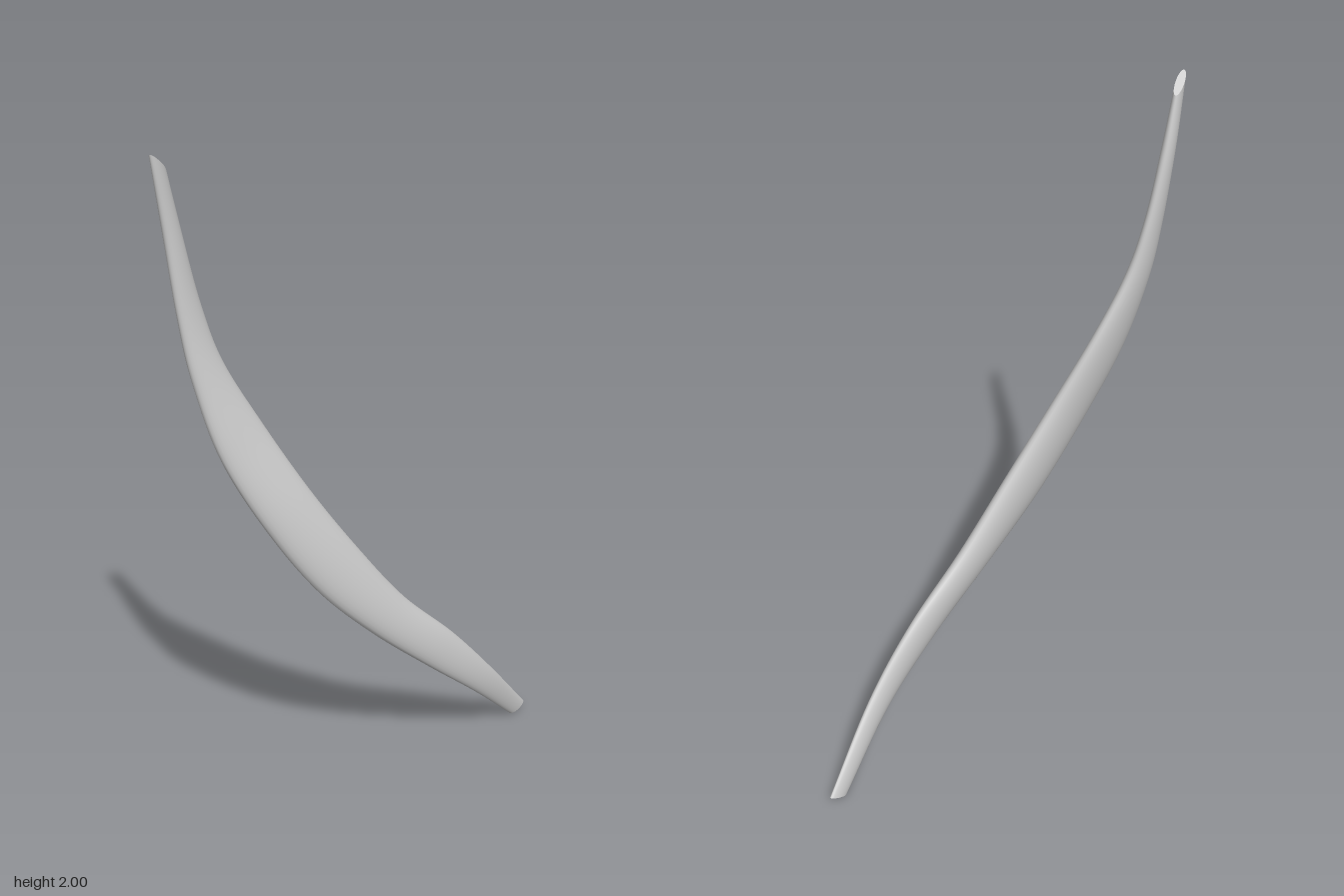
import * as THREE from 'three';

// Cross-sections from top to bottom: left edge, right edge, half thickness
const SECTIONS = [
  [[-0.615, 2.0, 0.035], [-0.567, 1.95, 0.002], 0.012],
  [[-0.587, 1.8, 0.025], [-0.533, 1.79, -0.01], 0.018],
  [[-0.563, 1.58, 0.027], [-0.49, 1.6, -0.012], 0.021],
  [[-0.535, 1.4, 0.037], [-0.44, 1.44, -0.004], 0.026],
  [[-0.475, 1.18, 0.06], [-0.345, 1.26, 0.01], 0.031],
  [[-0.36, 0.955, 0.08], [-0.22, 1.045, 0.035], 0.035],
  [[-0.215, 0.74, 0.087], [-0.085, 0.845, 0.045], 0.036],
  [[-0.04, 0.555, 0.08], [0.075, 0.635, 0.04], 0.033],
  [[0.165, 0.37, 0.052], [0.26, 0.45, 0.022], 0.026],
  [[0.36, 0.197, 0.002], [0.425, 0.26, -0.016], 0.019],
  [[0.555, 0.004, -0.087], [0.612, 0.03, -0.1], 0.011],
];
const STEPS = 80;
const SIDES = 28;

const spline = (points) => new THREE.CatmullRomCurve3(points, false, 'catmullrom', 0.5);

// Elliptical rings carried between the two edge curves
function buildRings() {
  const left = spline(SECTIONS.map((s) => new THREE.Vector3(...s[0])));
  const right = spline(SECTIONS.map((s) => new THREE.Vector3(...s[1])));
  const thick = spline(SECTIONS.map((s, i) => new THREE.Vector3(s[2], i, 0)));
  const rings = [];
  for (let i = 0; i <= STEPS; i++) {
    const u = i / STEPS;
    const l = left.getPoint(u), r = right.getPoint(u);
    const centre = l.clone().add(r).multiplyScalar(0.5);
    const half = r.clone().sub(l).multiplyScalar(0.5);
    const along = left.getTangent(u).add(right.getTangent(u));
    const depth = along.cross(half).normalize().multiplyScalar(thick.getPoint(u).x);
    const ring = [];
    for (let j = 0; j < SIDES; j++) {
      const a = (j / SIDES) * Math.PI * 2;
      ring.push(centre.clone().addScaledVector(half, Math.cos(a)).addScaledVector(depth, Math.sin(a)));
    }
    rings.push(ring);
  }
  return rings;
}

function makeMesh(name, points, index, material) {
  const geometry = new THREE.BufferGeometry().setFromPoints(points);
  geometry.setIndex(index);
  geometry.computeVertexNormals();
  const mesh = new THREE.Mesh(geometry, material);
  mesh.name = name;
  return mesh;
}

// Flat end closing one ring
function makeCap(name, ring, flip, material) {
  const index = [];
  for (let j = 1; j < SIDES - 1; j++) index.push(0, ...(flip ? [j + 1, j] : [j, j + 1]));
  return makeMesh(name, ring, index, material);
}

export function createModel() {
  const group = new THREE.Group();
  group.name = 'muscleStrap';
  const material = new THREE.MeshStandardMaterial({ color: 0xcccccc });
  const rings = buildRings();

  // Curved, flattened belly
  const index = [];
  for (let i = 0; i < STEPS; i++) {
    for (let j = 0; j < SIDES; j++) {
      const k = (j + 1) % SIDES;
      const a = i * SIDES + j, b = i * SIDES + k;
      index.push(a, b, a + SIDES, b, b + SIDES, a + SIDES);
    }
  }
  group.add(makeMesh('belly', rings.flat(), index, material));

  // Cut ends
  group.add(makeCap('upperEnd', rings[0], true, material));
  group.add(makeCap('lowerEnd', rings[STEPS], false, material));
  return group;
}
